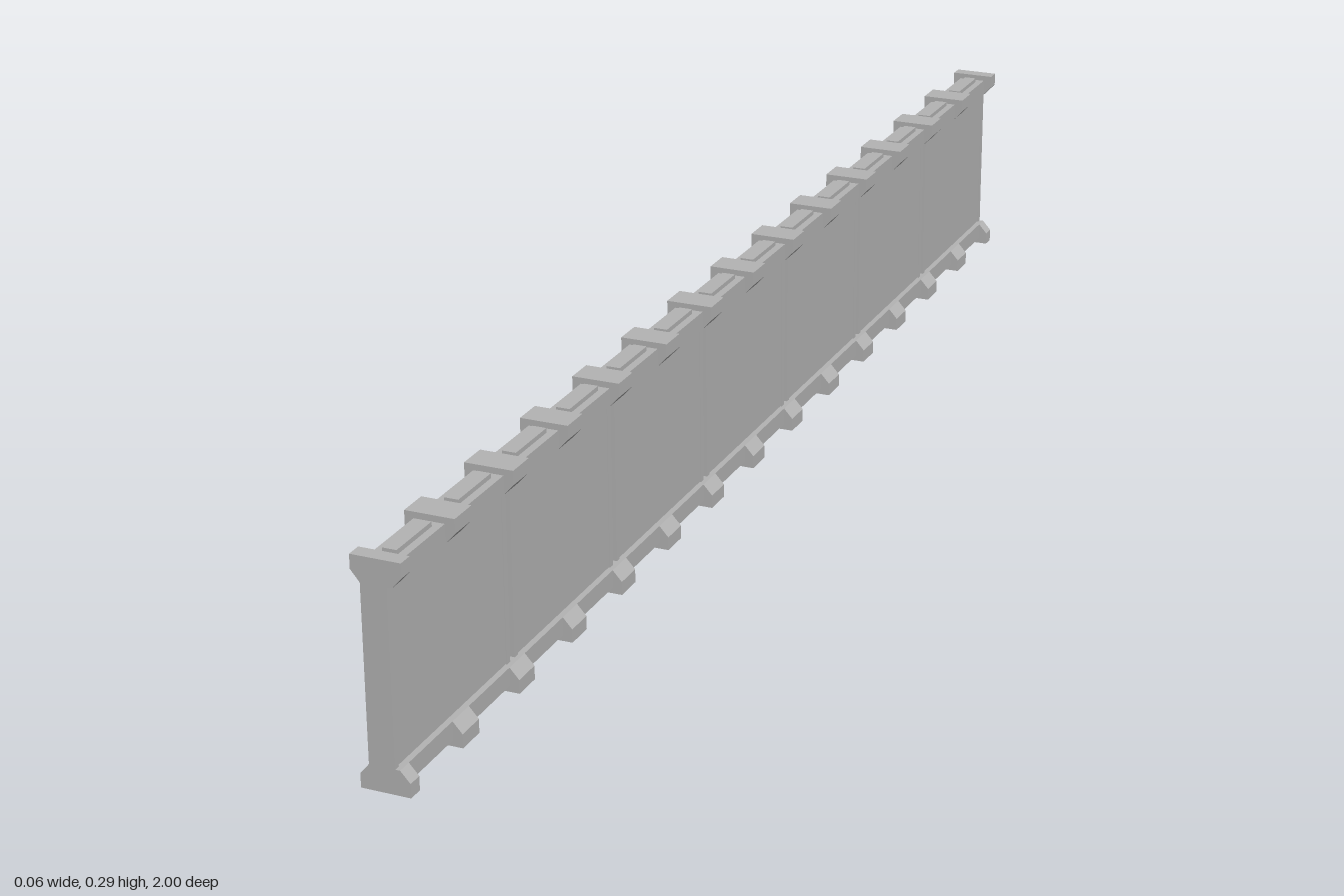
import * as THREE from 'three';

const H = 0.286, BAYS = 7, PITCH = 2 / BAYS;

export function createModel() {
  const root = new THREE.Group();
  root.name = 'panelWall';
  const grey = new THREE.MeshStandardMaterial({ color: 0xb4b4b4 });
  grey.name = 'plain grey';

  // Box given by its minimum and maximum corners
  function box(name, x0, x1, y0, y1, z0, z1) {
    const m = new THREE.Mesh(new THREE.BoxGeometry(x1 - x0, y1 - y0, z1 - z0), grey);
    m.position.set((x0 + x1) / 2, (y0 + y1) / 2, (z0 + z1) / 2);
    m.name = name;
    root.add(m);
  }

  // Box repeated at the bottom and mirrored at the top
  function boxPair(name, x0, x1, y0, y1, z0, z1) {
    box(name + 'Lower', x0, x1, y0, y1, z0, z1);
    box(name + 'Upper', x0, x1, H - y1, H - y0, z0, z1);
  }

  // Clamp with sloped shoulders, extruded along z
  function clamp(name, flip, z0, z1) {
    const pts = [[-0.0315, 0], [0.0315, 0], [0.0315, 0.018], [0.019, 0.032],
      [-0.02, 0.032], [-0.0315, 0.018]];
    const shape = new THREE.Shape(pts.map(([x, y]) => new THREE.Vector2(x, flip ? H - y : y)));
    const geo = new THREE.ExtrudeGeometry(shape, { depth: z1 - z0, bevelEnabled: false });
    geo.translate(0, 0, z0);
    const m = new THREE.Mesh(geo, grey);
    m.name = name;
    root.add(m);
  }

  // Long rails along top and bottom
  boxPair('rail', -0.02, 0.019, 0.008, 0.032, -1, 1);

  // Bays: a thin panel with a flange at each end, and a slot between bays
  for (let i = 0; i < BAYS; i++) {
    const a = -1 + i * PITCH + (i > 0 ? 0.006 : 0);
    const b = -1 + (i + 1) * PITCH - (i < BAYS - 1 ? 0.006 : 0);
    box('panel', 0.006, 0.011, 0.032, H - 0.032, a + 0.008, b - 0.008);
    box('flange', -0.02, 0.013, 0.032, H - 0.032, a, a + 0.008);
    box('flange', -0.02, 0.013, 0.032, H - 0.032, b - 0.008, b);
  }

  // Clamps at every half bay, cut off at the ends
  for (let i = 0; i <= 2 * BAYS; i++) {
    const z = -1 + i * PITCH / 2;
    const z0 = Math.max(-1, z - 0.02), z1 = Math.min(1, z + 0.02);
    clamp('clampLower', false, z0, z1);
    clamp('clampUpper', true, z0, z1);
  }

  // Raised strips on the rails between clamps
  for (let i = 0; i < 2 * BAYS; i++) {
    const z = -1 + (i + 0.5) * PITCH / 2;
    boxPair('strip', -0.009, 0.009, 0.002, 0.008, z - 0.04, z + 0.04);
  }

  return root;
}
